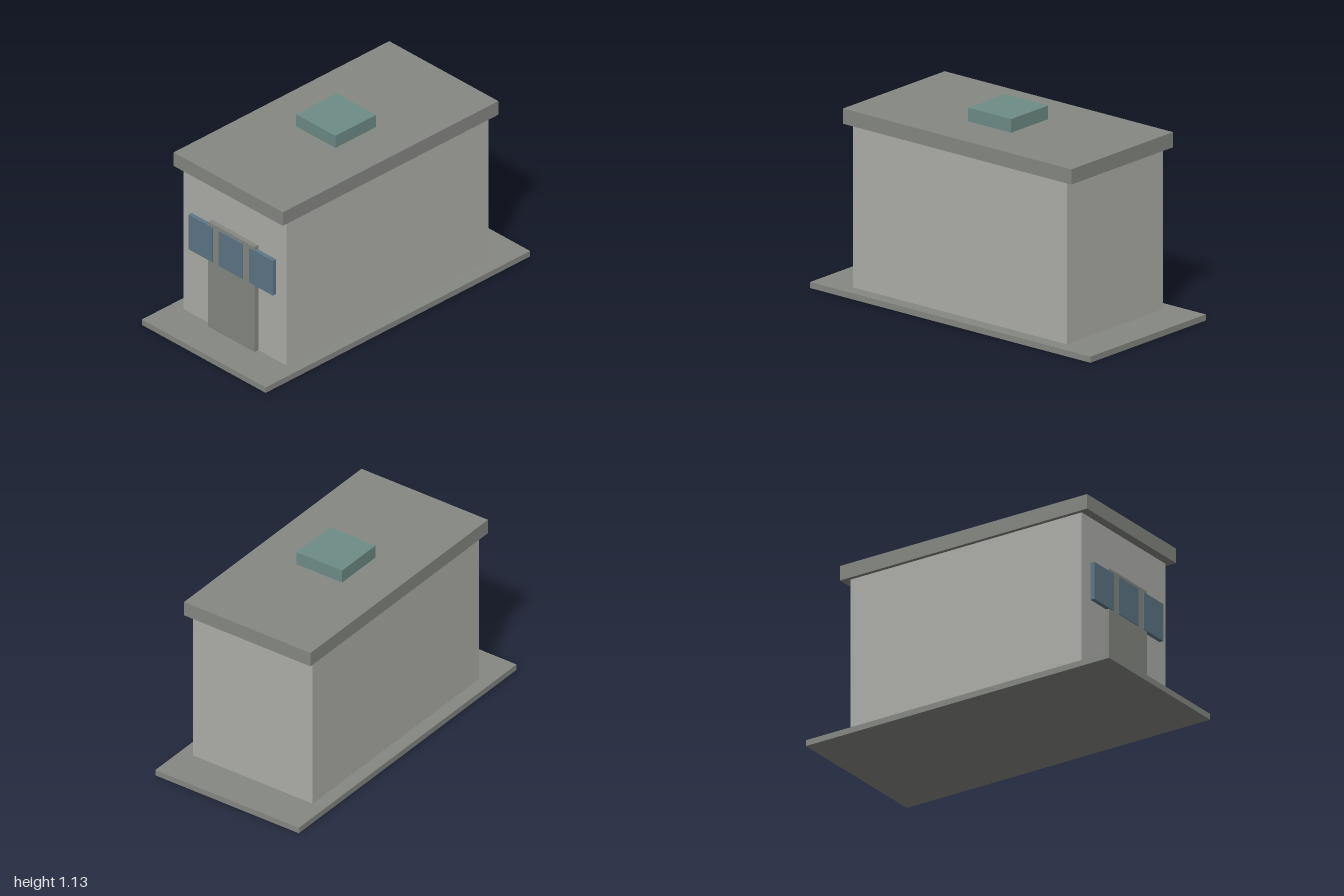
import * as THREE from 'three';

const material = (name, color) => {
  const m = new THREE.MeshStandardMaterial({ color });
  m.name = name;
  return m;
};

export function createModel() {
  const group = new THREE.Group();
  group.name = 'smallBuilding';

  const wall = material('wall grey', 0xaeafaa);
  const trim = material('trim grey', 0x868883);
  const glass = material('window blue', 0x5e7686);
  const vent = material('vent green', 0x6e8c86);

  // Box given by its centre x, width, and y and z ranges
  const box = (name, mat, x, width, y0, y1, z0, z1) => {
    const mesh = new THREE.Mesh(new THREE.BoxGeometry(width, y1 - y0, z1 - z0), mat);
    mesh.position.set(x, (y0 + y1) / 2, (z0 + z1) / 2);
    mesh.name = name;
    group.add(mesh);
  };

  // Main masses
  box('baseSlab', trim, 0, 0.966, 0, 0.035, -1, 1);
  box('walls', wall, 0, 0.805, 0.035, 0.965, -0.763, 0.763);
  box('roofSlab', trim, 0, 0.852, 0.965, 1.052, -0.815, 0.815);
  box('roofVent', vent, 0, 0.307, 1.052, 1.13, -0.153, 0.153);

  // Front door with a row of three windows
  box('door', trim, 0, 0.362, 0.035, 0.708, 0.763, 0.792);
  ['rightWindow', 'middleWindow', 'leftWindow'].forEach((name, i) =>
    box(name, glass, (i - 1) * 0.237, 0.186, 0.466, 0.688, 0.772, 0.797));

  return group;
}
